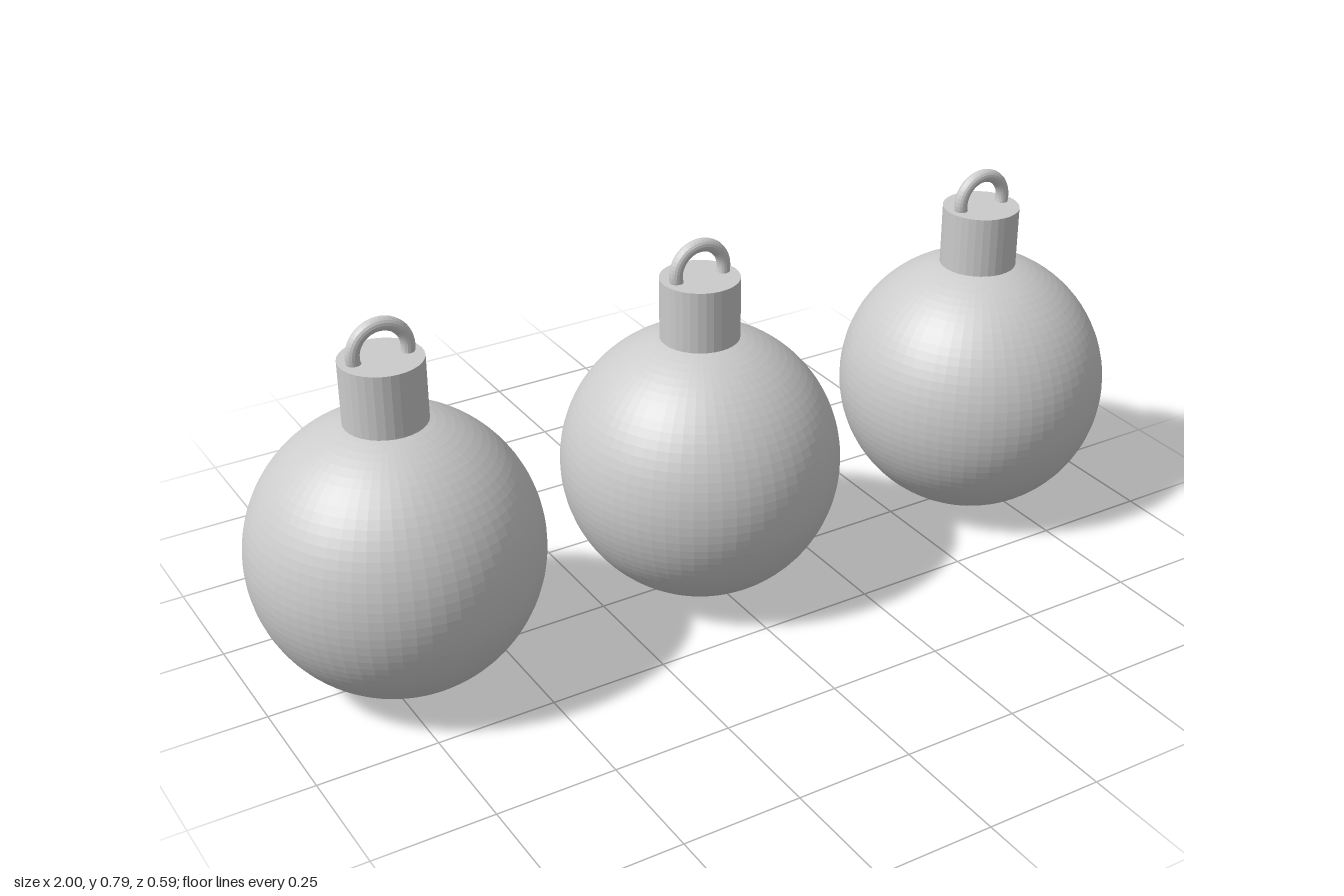
import * as THREE from 'three';

const RADIUS = 0.295;
const CAP_BOTTOM = 0.565, CAP_TOP = 0.71;

export function createModel() {
  const material = new THREE.MeshStandardMaterial({ color: 0xcccccc, flatShading: true });
  const ballGeometry = new THREE.SphereGeometry(RADIUS, 64, 48);
  const capGeometry = new THREE.CylinderGeometry(0.083, 0.083, CAP_TOP - CAP_BOTTOM, 32);
  const ringGeometry = new THREE.TorusGeometry(0.056, 0.014, 16, 48);

  function addPart(parent, name, geometry, y) {
    const mesh = new THREE.Mesh(geometry, material);
    mesh.name = name;
    mesh.position.y = y;
    parent.add(mesh);
  }

  // One bauble: ball, cylindrical cap and hanging ring half sunk into the cap
  function createBauble(name, x) {
    const bauble = new THREE.Group();
    bauble.name = name;
    bauble.position.x = x;
    addPart(bauble, 'ball', ballGeometry, RADIUS);
    addPart(bauble, 'cap', capGeometry, (CAP_BOTTOM + CAP_TOP) / 2);
    addPart(bauble, 'hangingRing', ringGeometry, 0.723);
    return bauble;
  }

  // Row of three
  const model = new THREE.Group();
  model.name = 'baubles';
  model.add(
    createBauble('rightBauble', -0.705),
    createBauble('middleBauble', -0.01),
    createBauble('leftBauble', 0.705)
  );
  return model;
}
